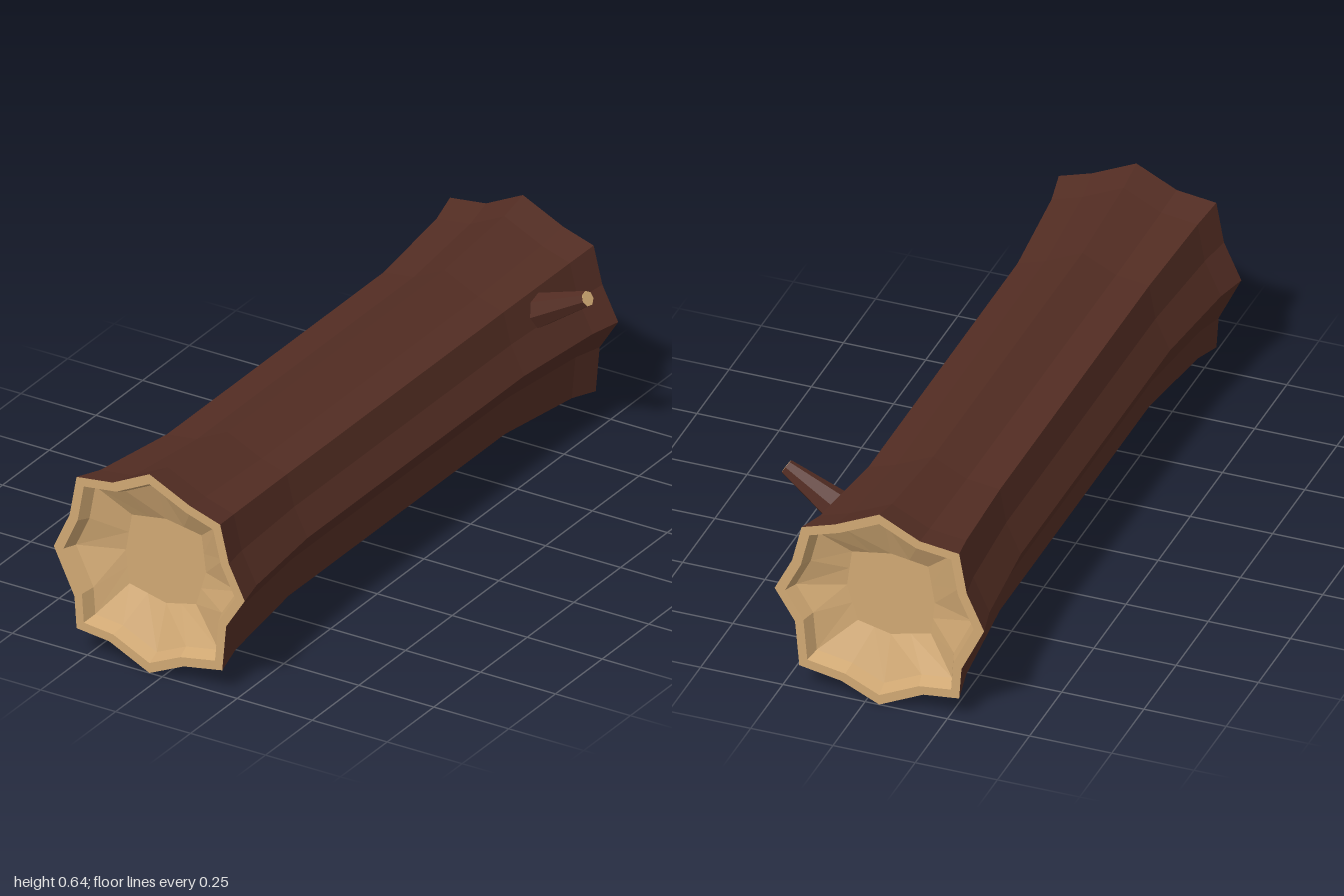
import * as THREE from 'three';

// Centre of the trunk and its fluted outline, clockwise from the top
const CX = -0.043, CY = 0.32;
const outline = [
  [0, 0.318], [0.135, 0.254], [0.236, 0.222], [0.265, 0.105],
  [0.318, 0], [0.256, -0.098], [0.243, -0.242], [0.115, -0.265],
  [0, -0.318], [-0.134, -0.254], [-0.243, -0.242], [-0.25, -0.142],
  [-0.319, 0], [-0.266, 0.115], [-0.243, 0.242], [-0.123, 0.257],
];
// Octagon at the bottom of the hollow, its sides split to match the outline
const corners = [[0, 0.135], [0.118, 0.115], [0.133, 0], [0.1, -0.11],
  [0, -0.134], [-0.122, -0.105], [-0.134, 0], [-0.114, 0.117]];
const octagon = corners.flatMap((p, i) => {
  const q = corners[(i + 1) % 8];
  return [p, [(p[0] + q[0]) / 2, (p[1] + q[1]) / 2]];
});

const ring = (shape, scale, z) =>
  shape.map(([x, y]) => new THREE.Vector3(CX + x * scale, CY + y * scale, z));

// Skin a row of rings with flat faces
function loft(rings) {
  const pos = [];
  const tri = (a, b, c) => {
    const area = b.clone().sub(a).cross(c.clone().sub(a)).length();
    if (area > 1e-8) for (const p of [a, b, c]) pos.push(p.x, p.y, p.z);
  };
  for (let r = 0; r < rings.length - 1; r++) {
    const a = rings[r], b = rings[r + 1];
    for (let i = 0; i < a.length; i++) {
      const j = (i + 1) % a.length;
      tri(a[i], a[j], b[i]);
      tri(a[j], b[j], b[i]);
    }
  }
  const geo = new THREE.BufferGeometry();
  geo.setAttribute('position', new THREE.Float32BufferAttribute(pos, 3));
  geo.computeVertexNormals();
  return geo;
}

export function createModel() {
  const bark = new THREE.MeshStandardMaterial({ name: 'bark', color: 0x532d23, flatShading: true });
  const wood = new THREE.MeshStandardMaterial({ name: 'cutWood', color: 0xd0a873, flatShading: true });
  const model = new THREE.Group();
  model.name = 'log';
  const add = (name, geo, mat) => {
    const mesh = new THREE.Mesh(geo, mat);
    mesh.name = name;
    model.add(mesh);
    return mesh;
  };

  // Bark, flaring at both ends
  const flare = [[1, 1], [0.9, 0.928], [0.58, 0.835], [-0.58, 0.835], [-0.9, 0.928], [-1, 1]];
  add('trunk', loft(flare.map(([z, s]) => ring(outline, s, z))), bark);

  // Cut ends: shallow dish, lip and flat rim
  for (const side of [1, -1]) {
    const rings = [
      ring(octagon, 0, side * 0.91),
      ring(octagon, 1, side * 0.91),
      ring(outline, 0.845, side * 0.96),
      ring(outline, 0.9, side),
      ring(outline, 1, side),
    ];
    if (side < 0) rings.reverse();
    add(side > 0 ? 'frontCutEnd' : 'backCutEnd', loft(rings), wood);
  }

  // Broken branch stub with a cut tip
  const base = new THREE.Vector3(0.16, 0.44, -0.737);
  const tip = new THREE.Vector3(0.349, 0.542, -0.717);
  const axis = tip.clone().sub(base);
  const stub = add('branch', new THREE.CylinderGeometry(0.023, 0.054, axis.length(), 7, 1, true), bark);
  stub.position.copy(base).add(tip).multiplyScalar(0.5);
  stub.quaternion.setFromUnitVectors(new THREE.Vector3(0, 1, 0), axis.clone().normalize());
  const cut = add('branchTip', new THREE.CylinderGeometry(0.023, 0.023, 0.002, 7), wood);
  cut.position.copy(tip);
  cut.quaternion.copy(stub.quaternion);

  return model;
}
